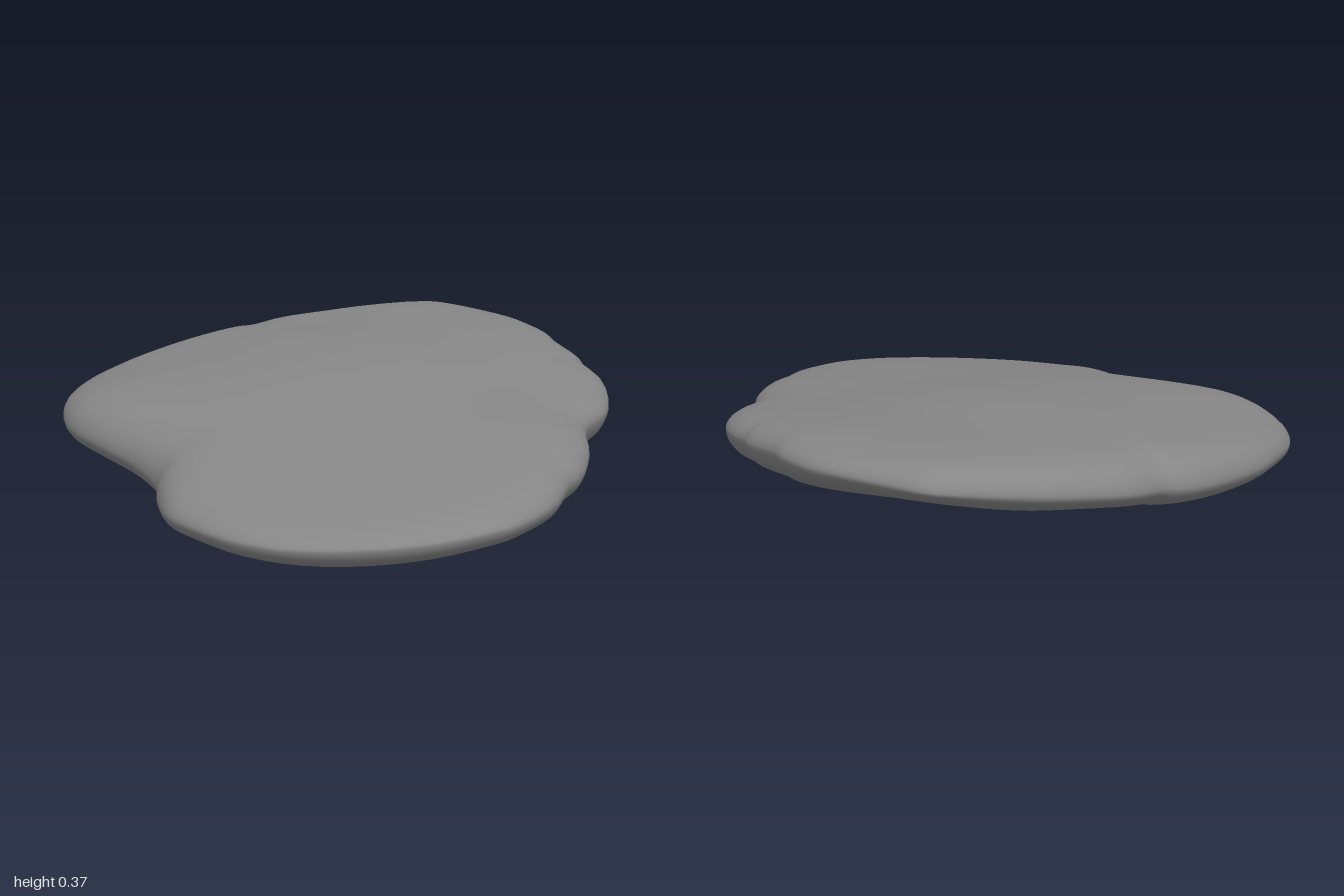
import * as THREE from 'three';

// Rim of the stone: [x, y, z], running round from +x towards +z
const RIM = [
  [0.88, 0.16, -0.02], [0.9, 0.155, 0.07], [0.96, 0.14, 0.22], [0.98, 0.13, 0.42], [0.97, 0.13, 0.49],
  [0.9, 0.12, 0.66], [0.77, 0.11, 0.82], [0.6, 0.1, 0.94], [0.42, 0.1, 0.995], [0.2, 0.1, 0.98],
  [0.1, 0.1, 0.955], [-0.04, 0.1, 0.86], [-0.13, 0.11, 0.78], [-0.3, 0.135, 0.72], [-0.5, 0.155, 0.69],
  [-0.68, 0.165, 0.645], [-0.85, 0.175, 0.51], [-0.93, 0.185, 0.37], [-0.97, 0.195, 0.2], [-0.985, 0.2, 0.05],
  [-0.965, 0.215, -0.2], [-0.925, 0.225, -0.33], [-0.89, 0.23, -0.37], [-0.86, 0.245, -0.51], [-0.77, 0.265, -0.67],
  [-0.67, 0.285, -0.81], [-0.49, 0.31, -0.98], [-0.4, 0.315, -1], [-0.16, 0.315, -1], [-0.07, 0.31, -0.985],
  [0.09, 0.3, -0.92], [0.17, 0.29, -0.865], [0.33, 0.27, -0.785], [0.36, 0.265, -0.755], [0.5, 0.25, -0.67],
  [0.64, 0.22, -0.49], [0.68, 0.205, -0.32], [0.8, 0.18, -0.17]
];

// Surface samples: [x, z, top height, underside height]
const HEIGHTS = [
  [-0.3, -0.9, 0.38, 0.24], [-0.25, -0.55, 0.38, 0.12], [-0.6, -0.55, 0.355, 0.17],
  [0.25, -0.6, 0.34, 0.14], [0.5, -0.4, 0.29, 0.1], [-0.82, -0.1, 0.315, 0.11],
  [-0.5, -0.1, 0.355, 0.08], [-0.2, -0.1, 0.365, 0.045], [0.1, -0.15, 0.34, 0.03],
  [0.4, 0, 0.29, 0.012], [0.75, 0.1, 0.25, 0.045], [-0.85, 0.3, 0.275, 0.09],
  [-0.5, 0.4, 0.315, 0.075], [-0.15, 0.35, 0.31, 0.025], [0.15, 0.4, 0.275, 0.005],
  [0.5, 0.4, 0.245, 0.005], [0.85, 0.45, 0.205, 0.05], [-0.5, 0.62, 0.27, 0.08],
  [-0.05, 0.65, 0.24, 0.025], [0.3, 0.75, 0.205, 0.005], [0.6, 0.75, 0.18, 0.02], [0.35, 0.92, 0.165, 0.03]
];

// The whole slab slopes down towards the front left
const slope = (x, z) => -0.06 * x - 0.1 * z;

// Slope plus a smooth blend of the samples; column 2 is the top, 3 the underside
function heightAt(x, z, column) {
  let sum = 0, total = 0;
  for (const h of HEIGHTS) {
    const w = Math.exp(-((x - h[0]) ** 2 + (z - h[1]) ** 2) / 0.07);
    sum += w * (h[column] - slope(h[0], h[1]));
    total += w;
  }
  return slope(x, z) + sum / total;
}

function stoneGeometry(segments = 120, rings = 24) {
  const curve = new THREE.CatmullRomCurve3(RIM.map(p => new THREE.Vector3(...p)), true);
  const positions = [], indices = [];
  // Rows run from the top centre out to the rim and back under to the bottom centre
  for (let r = 0; r <= 2 * rings; r++) {
    const s = 1 - (1 - Math.min(r, 2 * rings - r) / rings) ** 2.3;
    const bulge = (1 - s ** 10) ** 0.55;
    for (let i = 0; i < segments; i++) {
      const p = curve.getPoint(i / segments);
      const x = p.x * s, z = p.z * s;
      const face = heightAt(x, z, r < rings ? 2 : 3);
      positions.push(x, p.y + (face - p.y) * bulge, z);
      if (r === 2 * rings) continue;
      const a = r * segments + i, b = r * segments + (i + 1) % segments;
      const c = a + segments, d = b + segments;
      if (r > 0) indices.push(a, b, c);
      if (r < 2 * rings - 1) indices.push(b, d, c);
    }
  }
  const geometry = new THREE.BufferGeometry();
  geometry.setAttribute('position', new THREE.Float32BufferAttribute(positions, 3));
  geometry.setIndex(indices);
  geometry.computeVertexNormals();
  return geometry;
}

export function createModel() {
  const group = new THREE.Group();
  const stone = new THREE.Mesh(stoneGeometry(), new THREE.MeshStandardMaterial({ color: 0x868686 }));
  stone.name = 'flatStone';
  // Rest the underside on the ground
  stone.geometry.computeBoundingBox();
  stone.position.y = -stone.geometry.boundingBox.min.y;
  group.add(stone);
  return group;
}
